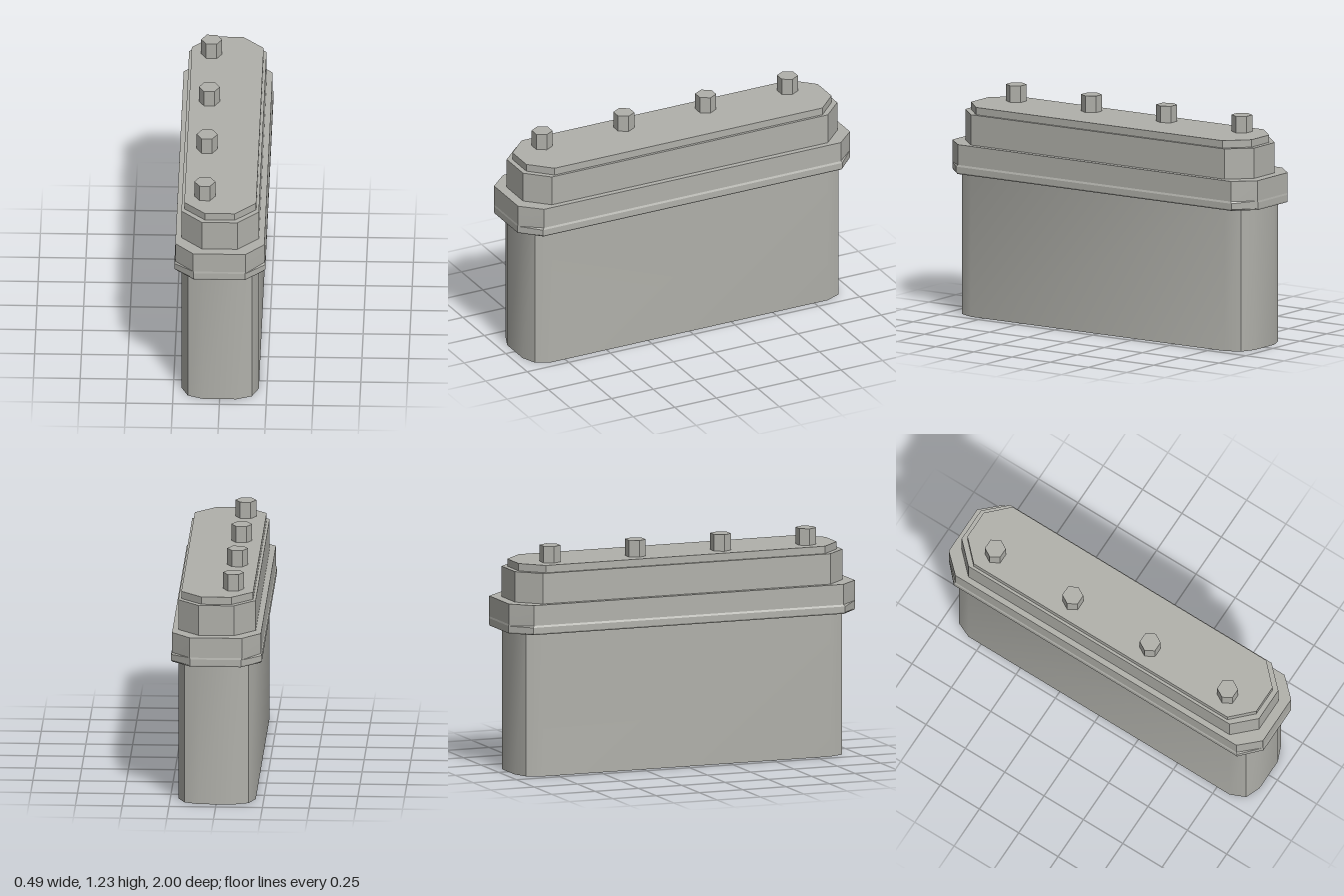
import * as THREE from 'three';
import { toCreasedNormals } from 'three/addons/utils/BufferGeometryUtils.js';

// Mirror the points of one quarter [x, z], running from the side to the end, into a full outline
function outline(quarter) {
  const back = [...quarter].reverse();
  return [
    ...quarter,
    ...back.map(([x, z]) => [-x, z]),
    ...quarter.map(([x, z]) => [-x, -z]),
    ...back.map(([x, z]) => [x, -z]),
  ];
}

// Closed solid through a stack of { y, quarter } cross-sections
function loft(levels, crease) {
  const rings = levels.map(({ y, quarter }) => outline(quarter).map(([x, z]) => [x, y, z]));
  const n = rings[0].length;
  const pos = [];
  const tri = (a, b, c) => pos.push(...a, ...b, ...c);
  for (let i = 0; i < n; i++) {
    const j = (i + 1) % n;
    for (let k = 0; k < rings.length - 1; k++) {
      const lo = rings[k], hi = rings[k + 1];
      tri(lo[i], hi[i], lo[j]);
      tri(hi[i], hi[j], lo[j]);
    }
    const bottom = rings[0], top = rings[rings.length - 1];
    tri([0, bottom[0][1], 0], bottom[i], bottom[j]);
    tri([0, top[0][1], 0], top[j], top[i]);
  }
  const geo = new THREE.BufferGeometry();
  geo.setAttribute('position', new THREE.Float32BufferAttribute(pos, 3));
  return toCreasedNormals(geo, crease);
}

// Octagonal level: half width, half length, half width of the end, half length of the side
const level = (y, hx, hz, ex, sz) => ({ y, quarter: [[hx, sz], [ex, hz]] });

export function createModel() {
  const group = new THREE.Group();
  const grey = new THREE.MeshStandardMaterial({ color: 0xb0b0aa });
  grey.name = 'warm grey';

  const add = (name, geometry) => {
    const mesh = new THREE.Mesh(geometry, grey);
    mesh.name = name;
    group.add(mesh);
    return mesh;
  };

  // Tall body with softly rounded corners, each split by one sharp edge
  const bodyQuarter = [[0.207, 0.83], [0.171, 0.912], [0.09, 0.945]];
  add('body', loft([{ y: 0, quarter: bodyQuarter }, { y: 0.78, quarter: bodyQuarter }], 0.53));

  // Collar with a slightly wider lower lip
  add('collar', loft([
    level(0.775, 0.238, 0.998, 0.135, 0.896),
    level(0.783, 0.243, 1, 0.137, 0.9),
    level(0.815, 0.243, 1, 0.137, 0.9),
    level(0.825, 0.238, 0.998, 0.14, 0.893),
    level(0.935, 0.238, 0.998, 0.14, 0.893),
  ], 0.1));

  // Two stepped tiers of the lid
  add('lid', loft([level(0.93, 0.207, 0.945, 0.095, 0.83), level(1.1, 0.207, 0.945, 0.095, 0.83)], 0.1));
  add('topPlate', loft([level(1.095, 0.192, 0.918, 0.08, 0.806), level(1.14, 0.192, 0.918, 0.08, 0.806)], 0.1));

  // Row of hexagonal pegs along the right side of the lid
  const pegGeometry = toCreasedNormals(new THREE.CylinderGeometry(0.056, 0.056, 0.1, 6).rotateY(Math.PI / 6), 0.1);
  for (let i = 0; i < 4; i++) {
    add('peg' + (i + 1), pegGeometry).position.set(-0.084, 1.18, 0.738 - i * 0.492);
  }

  return group;
}
